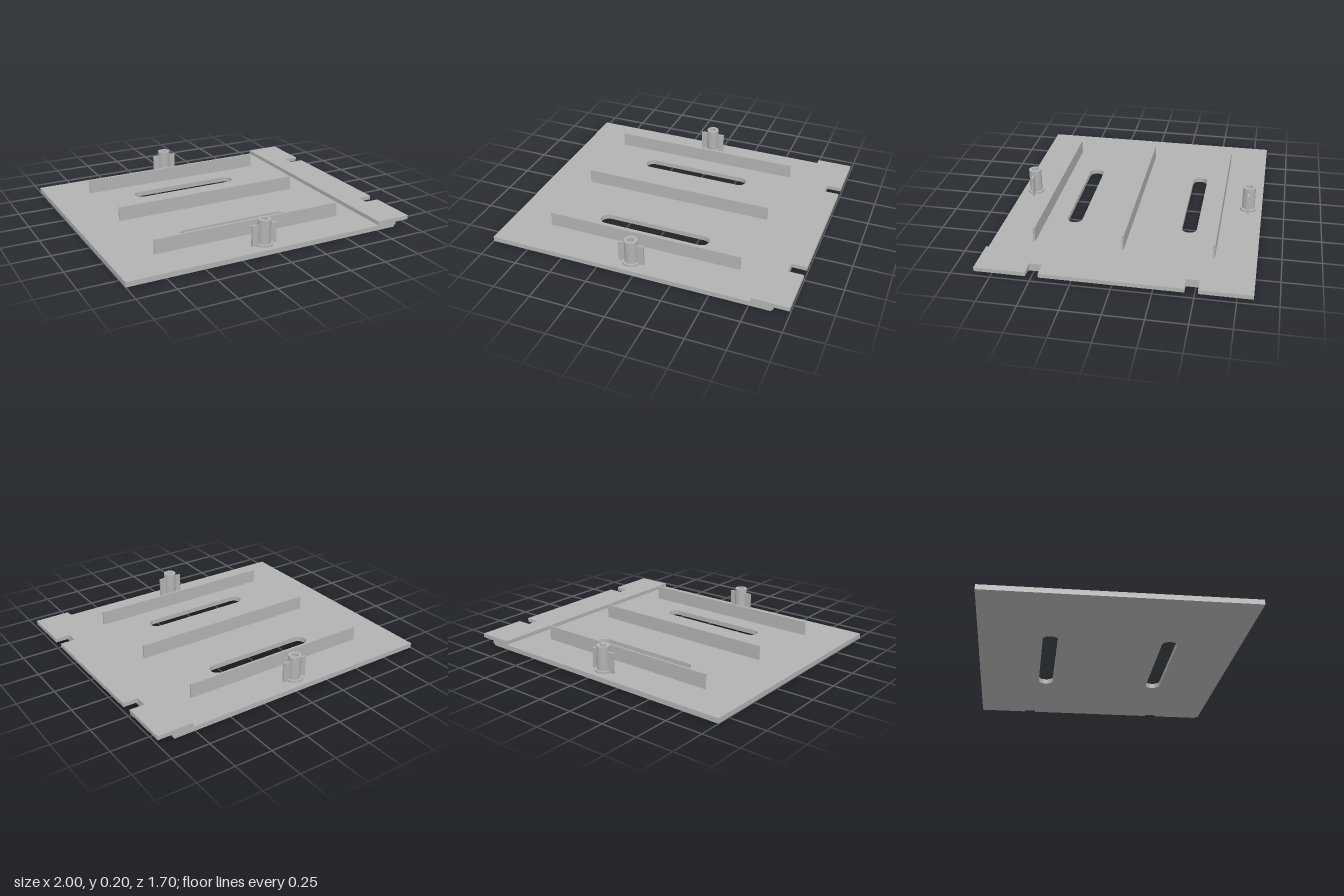
import * as THREE from 'three';

const grey = new THREE.MeshStandardMaterial({ color: 0xb2b2b2 });
grey.name = 'plain grey';

const BASE_TOP = 0.033, HALF_DEPTH = 0.848, LIP_TOP = 0.06;

function add(parent, name, geometry, x = 0, y = 0, z = 0) {
  const mesh = new THREE.Mesh(geometry, grey);
  mesh.name = name;
  mesh.position.set(x, y, z);
  parent.add(mesh);
  return mesh;
}

// Box given by its limits along each axis
function block(parent, name, x0, x1, y0, y1, z0, z1) {
  return add(parent, name, new THREE.BoxGeometry(x1 - x0, y1 - y0, z1 - z0),
    (x0 + x1) / 2, (y0 + y1) / 2, (z0 + z1) / 2);
}

// Horizontal plate from a plan outline drawn in (x, -z)
function plate(shape, y0, y1) {
  return new THREE.ExtrudeGeometry(shape, { depth: y1 - y0, bevelEnabled: false, curveSegments: 16 })
    .rotateX(-Math.PI / 2).translate(0, y0, 0);
}

function outline(points) {
  return new THREE.Shape(points.map(([x, y]) => new THREE.Vector2(x, y)));
}

// Rounded slot along x
function slot(x0, x1, z, r) {
  const path = new THREE.Path();
  path.moveTo(x0 + r, z - r);
  path.lineTo(x1 - r, z - r);
  path.absarc(x1 - r, z, r, -Math.PI / 2, Math.PI / 2, false);
  path.lineTo(x0 + r, z + r);
  path.absarc(x0 + r, z, r, Math.PI / 2, Math.PI * 1.5, false);
  return path;
}

// Hollow screw post with foot flange and two side wings
function makePost(z) {
  const post = new THREE.Group();
  post.name = 'post';
  post.position.set(-0.05, 0, z);
  const lathe = (pts) => {
    // Split profile into straight segments so the rims stay sharp
    for (let i = 0; i < pts.length - 1; i++) {
      const pair = [pts[i], pts[i + 1]].map(([r, y]) => new THREE.Vector2(r, y));
      add(post, 'postSurface', new THREE.LatheGeometry(pair, 32));
    }
  };
  lathe([[0.058, BASE_TOP], [0.058, 0.047], [0.043, 0.047], [0.043, 0.203],
    [0.022, 0.203], [0.022, 0.047], [0, 0.047]]);
  for (const s of [-1, 1]) {
    const [a, b] = [s * 0.036, s * 0.086].sort((p, q) => p - q);
    block(post, 'wing', a, b, BASE_TOP, 0.17, -0.007, 0.007);
  }
  return post;
}

export function createModel() {
  const model = new THREE.Group();
  model.name = 'slottedCoverPlate';

  // Base plate with two long slots
  const D = HALF_DEPTH;
  const base = outline([[-1, -D], [0.89, -D], [0.89, D], [-1, D]]);
  for (const s of [-1, 1]) base.holes.push(slot(-0.44, 0.335, s * 0.387, 0.05));
  add(model, 'basePlate', plate(base, 0, BASE_TOP));
  block(model, 'edgeStep', 0.89, 0.9, 0.013, BASE_TOP, -D, D);

  // Raised lip with two notches in its outer edge
  const n0 = 0.443, n1 = 0.523;
  const lip = outline([[0.76, -D], [1, -D],
    [1, -n1], [0.9, -n1], [0.9, -n0], [1, -n0],
    [1, n0], [0.9, n0], [0.9, n1], [1, n1],
    [1, D], [0.76, D]]);
  add(model, 'notchedLip', plate(lip, BASE_TOP, LIP_TOP));

  // Stiffening ribs
  for (const z of [-0.579, 0, 0.579]) {
    block(model, 'rib', -0.71, 0.61, BASE_TOP, 0.13, z - 0.007, z + 0.007);
  }

  // Posts near the front and back edges
  for (const s of [-1, 1]) model.add(makePost(s * 0.755));

  return model;
}
